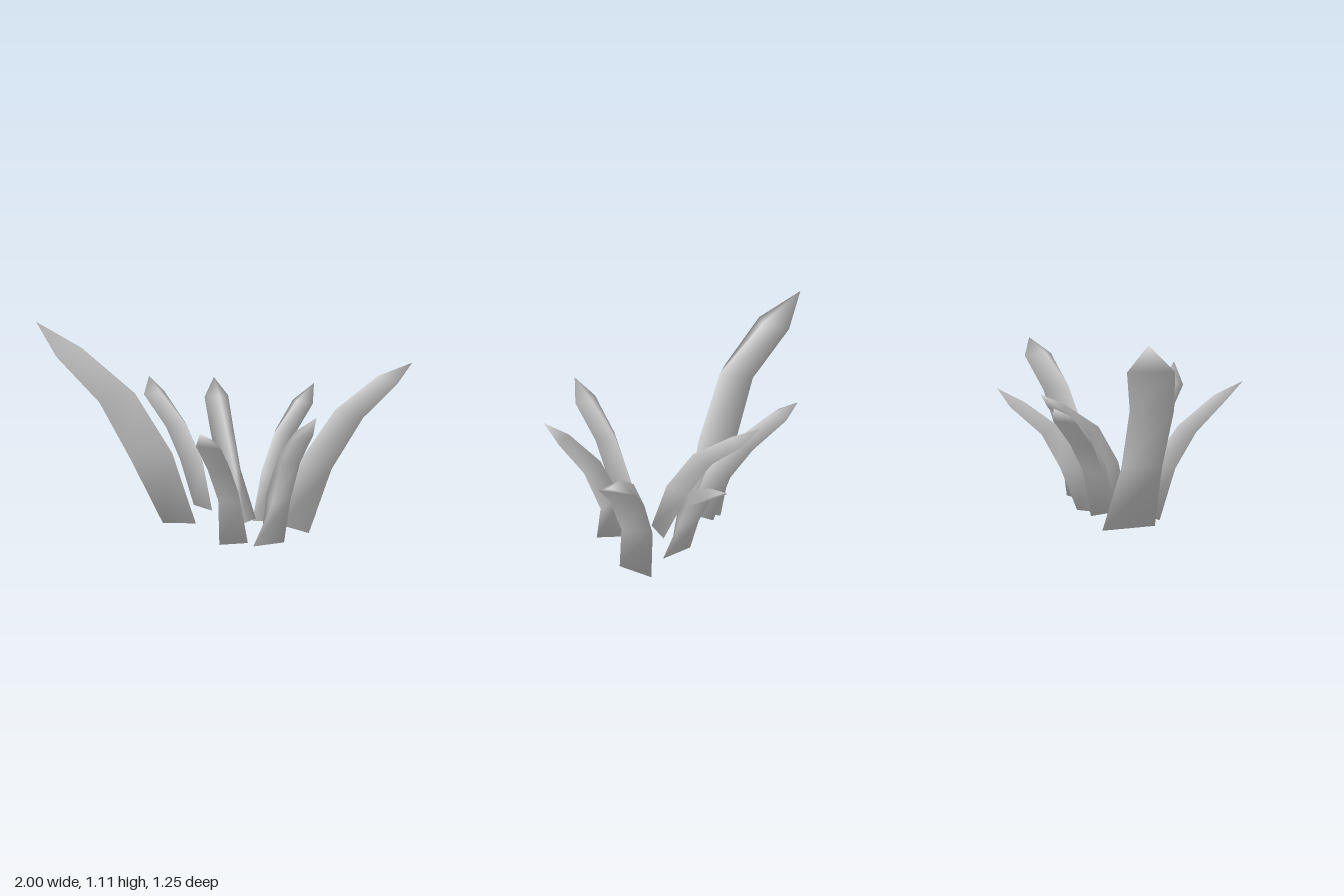
import * as THREE from 'three';

// Triangular blade section at the two bends and the shoulder (for size 1)
const DEPTH = [0.163, 0.13, 0.08];   // inner ridge to outer face
const HALF = [0.083, 0.088, 0.091];  // half width of the outer face
const DROP = [-0.02, -0.03, -0.025]; // height of the outer face against the ridge

// Each blade: root of the inner ridge, outer base corners (x, z), ridge points, tip
const BLADES = [
  { name: 'rightwardBlade', size: 1, root: [0.27, 0.03, 0.035], heel: [[0.4, 0.155], [0.49, -0.05]],
    ridge: [[0.37, 0.38, 0.02], [0.57, 0.67, 0.015], [0.81, 0.845, 0]], tip: [1, 0.91, 0] },
  { name: 'tallBlade', size: 1.24, root: [-0.19, 0.04, -0.05], heel: [[-0.21, -0.25], [-0.375, -0.03]],
    ridge: [[-0.31, 0.44, -0.09], [-0.5, 0.77, -0.155], [-0.765, 0.99, -0.335]], tip: [-1, 1.11, -0.5] },
  { name: 'backOuterBlade', root: [-0.09, 0.09, -0.1], heel: [[-0.08, -0.24], [-0.185, -0.15]],
    ridge: [[-0.13, 0.36, -0.18], [-0.2, 0.53, -0.31], [-0.32, 0.68, -0.5]], tip: [-0.365, 0.74, -0.63] },
  { name: 'backMiddleBlade', root: [0.05, 0.07, 0.08], heel: [[0.14, -0.015], [-0.02, -0.02]],
    ridge: [[0.025, 0.33, 0], [0, 0.54, -0.14], [-0.005, 0.68, -0.35]], tip: [-0.01, 0.75, -0.5] },
  { name: 'backInnerBlade', root: [0.13, 0.03, -0.06], heel: [[0.27, -0.05], [0.17, -0.175]],
    ridge: [[0.19, 0.3, -0.11], [0.28, 0.49, -0.2], [0.44, 0.63, -0.345]], tip: [0.565, 0.7, -0.45] },
  { name: 'frontOuterBlade', root: [0.03, 0.01, 0.165], heel: [[-0.1, 0.19], [0.04, 0.27]],
    ridge: [[0, 0.3, 0.21], [-0.08, 0.51, 0.32], [-0.18, 0.68, 0.49]], tip: [-0.27, 0.76, 0.62] },
  { name: 'frontInnerBlade', root: [0.13, 0.03, 0.19], heel: [[0.065, 0.295], [0.22, 0.345]],
    ridge: [[0.15, 0.29, 0.22], [0.19, 0.53, 0.32], [0.24, 0.7, 0.475]], tip: [0.325, 0.8, 0.58] },
];

const vec = (p) => new THREE.Vector3(...p);

function bladeGeometry({ root, heel, ridge, tip, size = 0.76 }) {
  // Blades lean straight away from their root
  const out = new THREE.Vector3(tip[0] - root[0], 0, tip[2] - root[2]).normalize();
  const side = new THREE.Vector3(0, 1, 0).cross(out);

  // Three corners per ring: ridge, then the two outer edges; the base is cut aslant
  const rings = [[
    vec(root),
    new THREE.Vector3(heel[0][0], root[1] - 0.01, heel[0][1]),
    new THREE.Vector3(heel[1][0], root[1] + 0.022, heel[1][1]),
  ]];
  ridge.forEach((p, i) => {
    const a = vec(p);
    const face = a.clone().addScaledVector(out, DEPTH[i] * size);
    face.y += DROP[i] * size;
    const half = HALF[i] * size;
    rings.push([a, face.clone().addScaledVector(side, -half), face.clone().addScaledVector(side, half)]);
  });

  // Rounded normals: away from the ring centre, square to the direction of growth
  const centres = rings.map((r) => r[0].clone().add(r[1]).add(r[2]).divideScalar(3));
  centres.push(vec(tip));
  const points = [];
  const normals = [];
  rings.forEach((ring, i) => {
    const along = centres[i + 1].clone().sub(centres[Math.max(i - 1, 0)]).normalize();
    for (const p of ring) {
      const n = p.clone().sub(centres[i]);
      n.addScaledVector(along, -n.dot(along)).normalize();
      if (i === 0) n.addScaledVector(along, -0.6).normalize(); // soft rim at the base
      points.push(p);
      normals.push(...n);
    }
  });
  const last = rings.length;
  points.push(centres[last]);
  normals.push(...centres[last].clone().sub(centres[last - 1]).normalize());

  // Base cap, sides and pointed end
  const index = [0, 2, 1];
  for (let r = 0; r < last; r++) {
    for (let k = 0; k < 3; k++) {
      const a = r * 3 + k, b = r * 3 + (k + 1) % 3;
      if (r === last - 1) index.push(a, b, last * 3);
      else index.push(a, b, b + 3, a, b + 3, a + 3);
    }
  }

  const geometry = new THREE.BufferGeometry().setFromPoints(points);
  geometry.setAttribute('normal', new THREE.Float32BufferAttribute(normals, 3));
  geometry.setIndex(index);
  return geometry;
}

export function createModel() {
  const group = new THREE.Group();
  group.name = 'grassTuft';
  const material = new THREE.MeshStandardMaterial({ color: 0xcccccc });
  material.name = 'lightGrey';
  for (const blade of BLADES) {
    const mesh = new THREE.Mesh(bladeGeometry(blade), material);
    mesh.name = blade.name;
    group.add(mesh);
  }
  return group;
}
